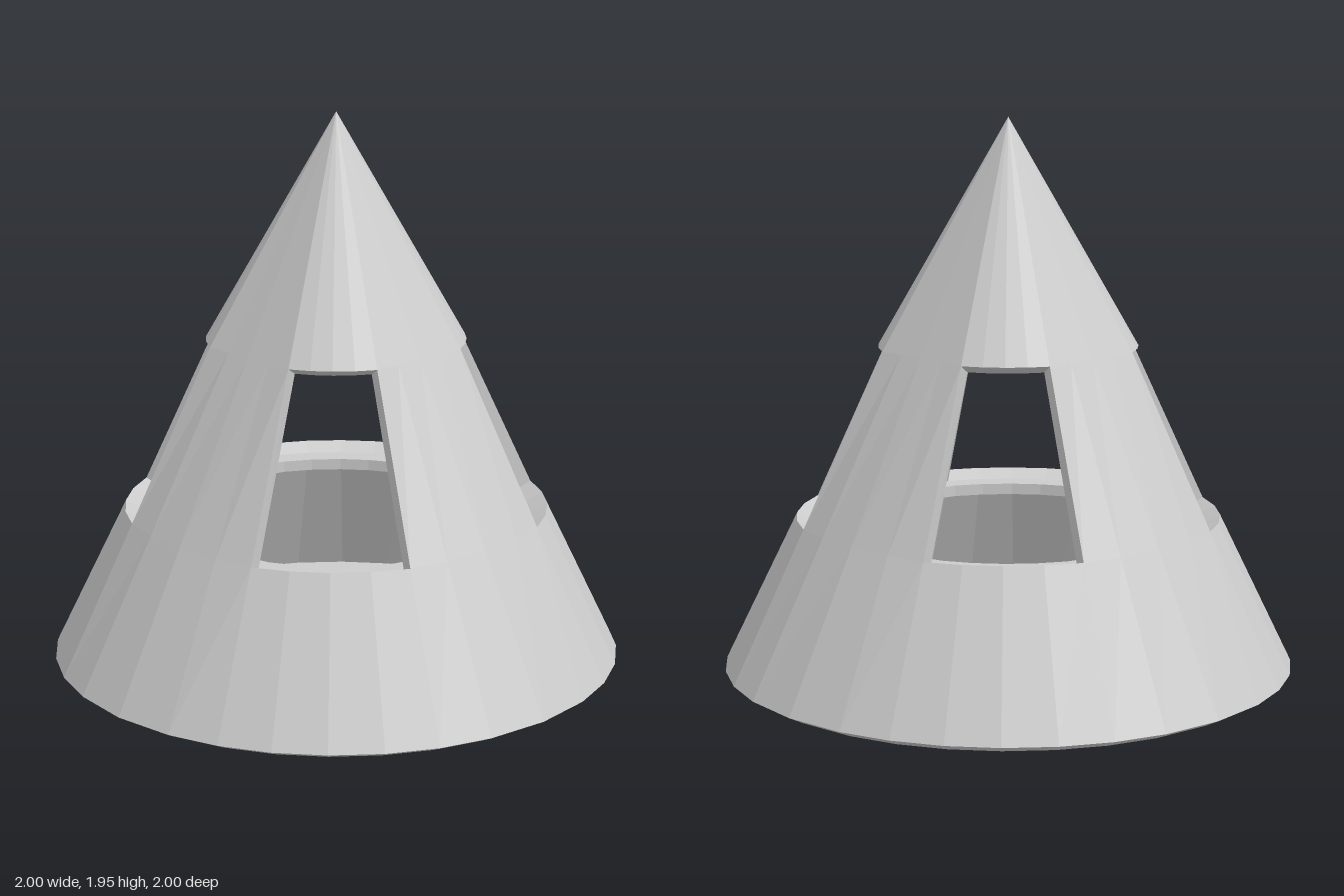
import * as THREE from 'three';

const SEGMENTS = 32; // eight facets per quadrant: two half pillars and one window
const WALL = 0.058, DROP = 0.03;
const BASE_Y = 0.03, SILL_Y = 0.56, LIP_Y = 1.16, APEX_Y = 1.95;
const baseAngles = [0, 13, 23.8, 34.4, 45, 55.6, 66.2, 77];
const lipAngles = [0, 13.8, 26, 35.5, 45, 54.5, 64, 76.2];
const lipRadii = [0.41, 0.42, 0.452, 0.452, 0.452, 0.452, 0.452, 0.42]; // flat across pillars

const isWindow = i => i % 8 >= 2 && i % 8 < 6;
const isPillar = i => !isWindow(i);
const all = () => true;

const polar = (r, degrees, y) => {
  const a = THREE.MathUtils.degToRad(degrees);
  return new THREE.Vector3(r * Math.cos(a), y, r * Math.sin(a));
};

// Cross-section at a height between base and lip, moved inwards by inset
function section(y, inset = 0, drop = 0) {
  const t = (y - BASE_Y) / (LIP_Y - BASE_Y);
  return Array.from({ length: SEGMENTS }, (_, i) => {
    const k = i % 8, turn = 90 * Math.floor(i / 8);
    const p = polar(1, baseAngles[k] + turn, y).lerp(polar(lipRadii[k], lipAngles[k] + turn, y), t);
    const r = Math.hypot(p.x, p.z), s = (r - inset) / r;
    return p.set(p.x * s, y - drop, p.z * s);
  });
}

const point = y => Array.from({ length: SEGMENTS }, () => new THREE.Vector3(0, y, 0));

// Facets between two cross-sections, on the chosen segments
function strip(a, b, keep = all) {
  const out = [];
  for (let i = 0; i < SEGMENTS; i++) {
    if (!keep(i)) continue;
    const j = (i + 1) % SEGMENTS;
    out.push(a[i], b[i], a[j], a[j], b[i], b[j]);
  }
  return out;
}

export function createModel() {
  const group = new THREE.Group();
  const material = new THREE.MeshStandardMaterial({ color: 0xcccccc, flatShading: true, side: THREE.DoubleSide });
  const add = (name, ...strips) => {
    const geometry = new THREE.BufferGeometry().setFromPoints(strips.flat());
    geometry.computeVertexNormals();
    const mesh = new THREE.Mesh(geometry, material);
    mesh.name = name;
    group.add(mesh);
  };

  const [base, sill, lip] = [BASE_Y, SILL_Y, LIP_Y].map(y => section(y));
  const [baseIn, sillIn, lipIn] = [BASE_Y, SILL_Y, LIP_Y].map(y => section(y, WALL, DROP));
  const top = point(APEX_Y), topIn = point(1.82);

  // Outer skin and inner lining
  add('lowerWall', strip(base, sill), strip(sillIn, baseIn));
  add('pillars', strip(sill, lip, isPillar), strip(lipIn, sillIn, isPillar));
  add('upperCone', strip(lip, top), strip(topIn, lipIn));

  // Thickness of the wall around the four windows
  add('windowSills', strip(sill, sillIn, isWindow));
  add('windowLintels', strip(lipIn, lip, isWindow));
  const jambs = [];
  for (let i = 0; i < SEGMENTS; i++) {
    if (i % 8 === 2) jambs.push(sill[i], sillIn[i], lip[i], lip[i], sillIn[i], lipIn[i]);
    if (i % 8 === 6) jambs.push(sill[i], lip[i], sillIn[i], lip[i], lipIn[i], sillIn[i]);
  }
  add('windowJambs', jambs);

  // Bevelled foot and floor
  add('baseBevel', strip(baseIn, base));
  add('floor', strip(point(0), baseIn));

  // Narrow ledge running round the inside below the windows
  const ledgeTop = section(SILL_Y, 0.145, DROP);
  const ledgeBottom = section(SILL_Y, 0.145, DROP + 0.04);
  const ledgeBack = section(SILL_Y, WALL - 0.015, DROP + 0.04);
  add('innerLedge', strip(sillIn, ledgeTop), strip(ledgeTop, ledgeBottom), strip(ledgeBottom, ledgeBack));

  return group;
}
